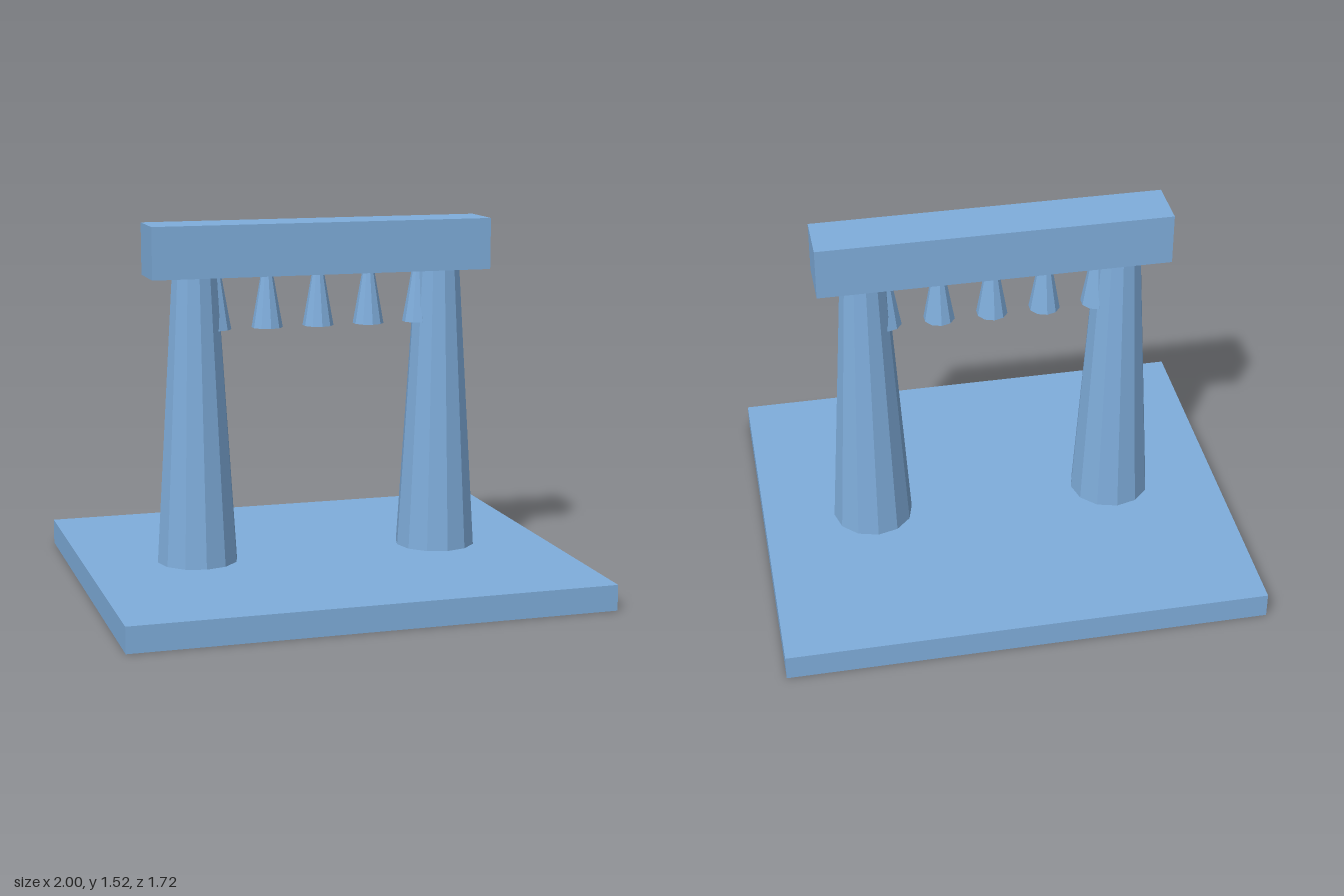
import * as THREE from 'three';

export function createModel() {
  const model = new THREE.Group();
  const blue = new THREE.MeshStandardMaterial({ color: 0x7faddb, flatShading: true });
  blue.name = 'blue';

  function add(name, geometry, x, y, z = 0) {
    const mesh = new THREE.Mesh(geometry, blue);
    mesh.name = name;
    mesh.position.set(x, y, z);
    model.add(mesh);
  }

  // Ground slab
  const slabTop = 0.107;
  add('baseSlab', new THREE.BoxGeometry(2, slabTop, 1.715), 0, slabTop / 2);

  // Lintel across the two pillars
  const beamBottom = 1.303, beamTop = 1.518;
  add('beam', new THREE.BoxGeometry(1.45, beamTop - beamBottom, 0.217), 0, (beamTop + beamBottom) / 2);

  // Tapered twelve-sided pillars
  const pillarHeight = beamBottom - slabTop;
  const pillar = new THREE.CylinderGeometry(0.095, 0.17, pillarHeight, 12);
  add('rightPillar', pillar, -0.527, slabTop + pillarHeight / 2);
  add('leftPillar', pillar, 0.527, slabTop + pillarHeight / 2);

  // Row of small tapered pendants hanging below the beam
  const pendantBottom = 1.08, pendantHeight = beamBottom - pendantBottom;
  const pendant = new THREE.CylinderGeometry(0.025, 0.065, pendantHeight, 10);
  for (let i = -2; i <= 2; i++) {
    add(`pendant${i + 3}`, pendant, i * 0.22, pendantBottom + pendantHeight / 2);
  }

  return model;
}
